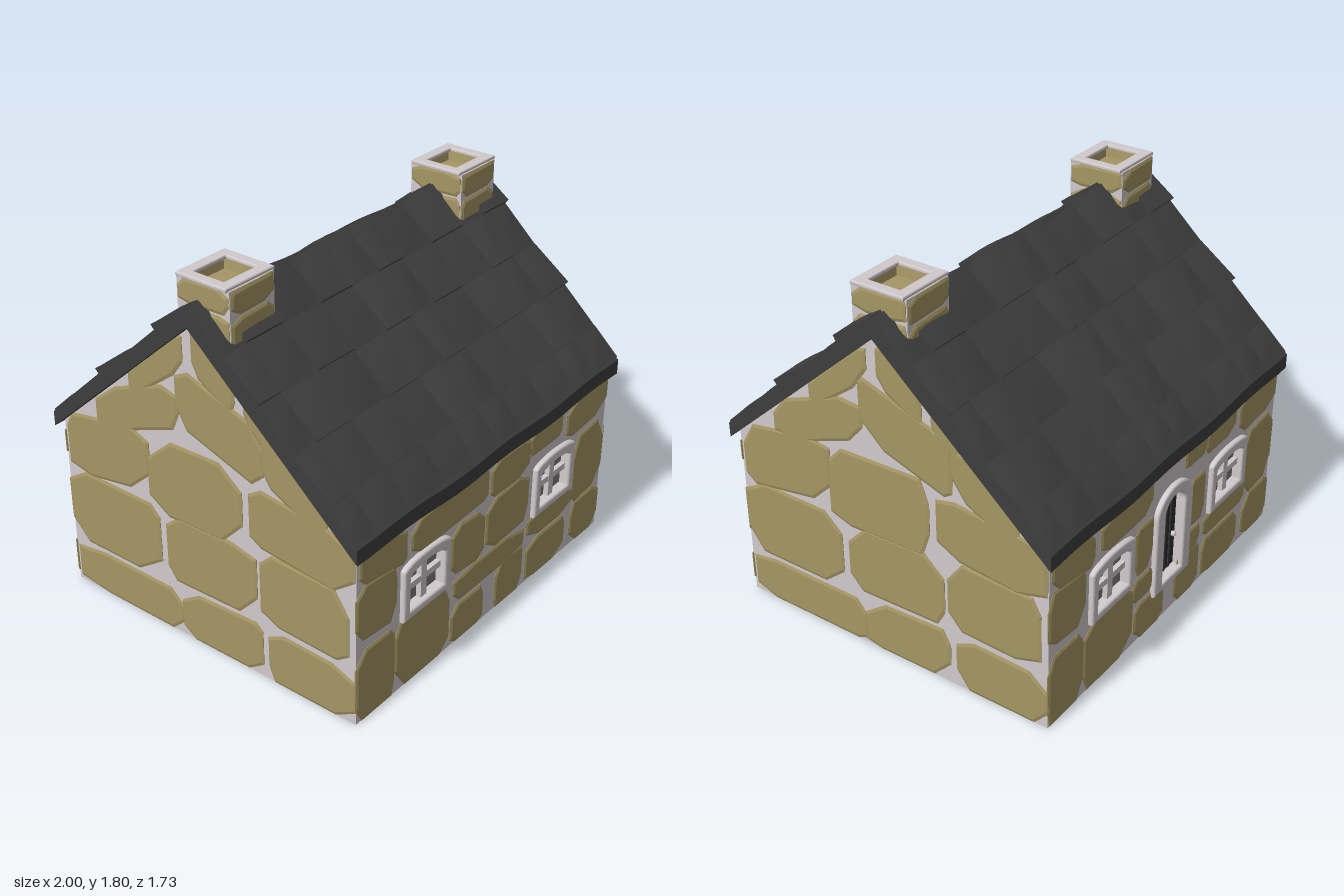
import * as THREE from 'three';

const mat = (name, color, side = THREE.FrontSide) => {
  const m = new THREE.MeshStandardMaterial({ color, side });
  m.name = name;
  return m;
};
const stone = mat('tan stone', 0xa59664, THREE.DoubleSide);
const mortar = mat('pale mortar', 0xd2cacd, THREE.DoubleSide);
const slate = mat('charcoal slate', 0x3e3e3e);
const trim = mat('off-white trim', 0xd2cbcd);
const glass = mat('grey glass', 0x7c797b);
const doorDark = mat('dark door', 0x2e2e30);

let seed = 11;
const rnd = () => (seed = (seed * 16807) % 2147483647) / 2147483647;

function add(parent, name, geo, material, x = 0, y = 0, z = 0) {
  const m = new THREE.Mesh(geo, material);
  m.name = name;
  m.position.set(x, y, z);
  parent.add(m);
  return m;
}
function group(parent, name, x = 0, y = 0, z = 0, ry = 0) {
  const g = new THREE.Group();
  g.name = name;
  g.position.set(x, y, z);
  g.rotation.y = ry;
  parent.add(g);
  return g;
}
const polygon = (pts) => new THREE.Shape(pts.map(([x, y]) => new THREE.Vector2(x, y)));

// Stones: [centre x, centre y, width, height, slope of the courses]
const SIDES = [
  [-.84, .18, .27, .37, 0], [-.505, .18, .4, .36, 0], [-.165, .1, .26, .21, 0], [.17, .12, .23, .25, 0],
  [.485, .11, .35, .22, 0], [.84, .12, .27, .25, 0], [.51, .295, .41, .13, 0], [-.84, .55, .29, .28, -.1],
  [.83, .44, .28, .38, .1], [-.79, .76, .32, .18, -.15], [.43, .77, .28, .14, 0], [.79, .75, .37, .19, .08],
];
const FRONT_MIDDLE = [
  [0, .29, .57, .14, 0], [-.18, .5, .26, .26, -.1], [.13, .5, .35, .27, .05],
  [-.32, .74, .57, .18, .03], [.14, .73, .32, .19, 0],
];
const BACK_MIDDLE = [
  [-.22, .29, .2, .13, 0], [.2, .29, .16, .13, 0], [-.23, .5, .15, .26, 0], [.23, .5, .15, .26, 0],
  [-.38, .75, .42, .17, .03], [.2, .78, .2, .12, 0],
];
const GABLE = [
  [-.48, .11, .68, .23, 0], [.09, .13, .48, .27, .05], [.6, .13, .48, .28, -.03], [-.55, .44, .58, .39, 0],
  [.04, .46, .53, .35, .03], [.56, .48, .48, .36, -.03], [-.56, .81, .52, .32, .17], [-.04, .81, .55, .39, .03],
  [.55, .8, .56, .29, -.1], [-.36, 1.1, .51, .22, .38], [.12, 1.18, .48, .29, -.33], [.52, 1.05, .34, .24, -.5],
  [-.23, 1.35, .33, .18, .75], [.1, 1.44, .23, .24, -.6], [.33, 1.27, .14, .14, -.9],
];
const CHIMNEY = [[0, 1.727, .29, .112, .03], [0, 1.596, .3, .13, .05]];

// Irregular eight-cornered stones, kept inside the wall outline
function stones(parent, list, halfWidth, roofLine = () => 9) {
  for (const [cx, cy, w, h, slope] of list) {
    const pts = [];
    for (const [sx, sy, first] of [[1, -1, 0], [1, 1, 1], [-1, 1, 0], [-1, -1, 1]]) {
      const a = .06 + rnd() * .22, b = .1 + rnd() * .25;
      const side = [sx * w / 2, sy * h * (.5 - b)], end = [sx * w * (.5 - a), sy * h / 2];
      pts.push(...(first ? [side, end] : [end, side]));
    }
    const outline = pts.map(([x, y]) => {
      const u = THREE.MathUtils.clamp(cx + x, -halfWidth, halfWidth);
      return [u, Math.max(0, Math.min(cy + y + slope * x, roofLine(u)))];
    });
    const geo = new THREE.ExtrudeGeometry(polygon(outline), {
      depth: .004, bevelThickness: .005, bevelSize: .014, bevelOffset: -.014, bevelSegments: 1,
    });
    add(parent, 'stone', geo, stone, 0, 0, -.002);
  }
}

// Arched outline for windows and the door
function arch(T, [hw, y0, ys, rise], x = 0) {
  const s = new T();
  s.moveTo(x - hw, y0);
  s.lineTo(x + hw, y0);
  s.lineTo(x + hw, ys);
  s.absellipse(x, ys, hw, rise, 0, Math.PI, false);
  s.lineTo(x - hw, y0);
  return s;
}
const WINDOW = [.122, .402, .57, .03];
const DOOR = [.085, .22, .59, .07];

// Deep frame whose opening is closed by a recessed panel
function archOpening(parent, name, outer, inner, panelName, panelMaterial) {
  const s = arch(THREE.Shape, outer);
  s.holes.push(arch(THREE.Path, inner));
  const frame = new THREE.ExtrudeGeometry(s, {
    depth: .05, bevelThickness: .01, bevelSize: .012, bevelOffset: -.012, bevelSegments: 3, curveSegments: 16,
  });
  add(parent, name, frame, trim, 0, 0, -.035);
  const [hw, y0, ys, rise] = inner;
  const panel = new THREE.ExtrudeGeometry(arch(THREE.Shape, [hw + .012, y0 - .012, ys, rise + .012]), {
    depth: .01, bevelEnabled: false,
  });
  add(parent, panelName, panel, panelMaterial, 0, 0, -.035);
}

function addWindow(wall, x) {
  const g = group(wall, 'window', x);
  archOpening(g, 'windowFrame', [.168, .36, .615, .037], WINDOW, 'windowGlass', glass);
  add(g, 'verticalBar', new THREE.BoxGeometry(.04, .2, .04), trim, 0, .495, -.02);
  add(g, 'horizontalBar', new THREE.BoxGeometry(.25, .032, .036), trim, 0, .5, -.02);
}

function addDoor(wall) {
  const g = group(wall, 'door');
  archOpening(g, 'doorFrame', [.155, .18, .6, .115], DOOR, 'doorLeaf', doorDark);
  for (const x of [-.04, 0, .04])
    add(g, 'doorBatten', new THREE.BoxGeometry(.012, .4, .008), slate, x, .42, -.025);
  add(g, 'doorKnob', new THREE.SphereGeometry(.014, 12, 8), trim, .058, .4, -.015);
}

// Gentle sag along the length of the roof
const sag = (x) => .007 * Math.sin(x * 9 + 1) + .012 * (x * x - .5);

function addRoof(parent) {
  const roof = group(parent, 'roof');
  const section = polygon([[.865, .845], [.865, .918], [0, 1.7], [-.865, .918], [-.865, .845], [0, 1.61]]);
  const slab = new THREE.ExtrudeGeometry(section, { depth: 2, steps: 24, bevelEnabled: false });
  slab.rotateY(-Math.PI / 2).translate(1, 0, 0);
  const p = slab.attributes.position;
  for (let i = 0; i < p.count; i++) p.setY(i, p.getY(i) + sag(p.getX(i)));
  add(roof, 'roofSlab', slab, slate);

  // Slates in a woven pattern: every second one lifts at its lower edge
  const cols = [-1, -.86, -.64, -.385, -.17, 0, .175, .4, .625, .8, 1];
  const rows = [0, .242, .484, .726, .968, 1.15];
  for (const turn of [0, Math.PI]) {
    const slope = group(roof, 'roofSlope', 0, 1.7, 0);
    slope.rotation.set(Math.atan2(.782, .865), turn, 0, 'YXZ');
    for (let r = 0; r < rows.length - 1; r++) {
      for (let c = 0; c < cols.length - 1; c++) {
        const w = cols[c + 1] - cols[c], mid = (cols[c] + cols[c + 1]) / 2;
        const len = rows[r + 1] - rows[r];
        const raised = (r + c) % 2 && r < rows.length - 2;
        const lift = raised ? .03 + rnd() * .007 : .006;
        const geo = new THREE.BoxGeometry(w, .02, len, 4, 1, 4);
        const q = geo.attributes.position;
        for (let i = 0; i < q.count; i++) {
          const v = q.getZ(i) / len + .5, u = q.getX(i) / w;
          const top = .008 + (lift - .008) * v + .03 * (.25 - u * u) * Math.sin(Math.PI * v);
          const wave = sag((q.getX(i) + mid) * (turn ? -1 : 1));
          q.setY(i, (q.getY(i) > 0 ? top : -.015) + wave);
        }
        geo.computeVertexNormals();
        add(slope, 'slate', geo, slate, mid, 0, rows[r] + len / 2);
      }
    }
  }
}

function ring(w, d, holeW, holeD, depth, bevel) {
  const rect = (a, b) => [[-a, -b], [a, -b], [a, b], [-a, b]];
  const s = polygon(rect(w / 2, d / 2));
  s.holes.push(polygon(rect(holeW / 2, holeD / 2)));
  return new THREE.ExtrudeGeometry(s, {
    depth, bevelEnabled: bevel > 0, bevelThickness: bevel, bevelSize: bevel, bevelOffset: -bevel, bevelSegments: 2,
  }).rotateX(-Math.PI / 2);
}

function addChimney(parent, x) {
  const g = group(parent, 'chimney', x, 0, .022);
  add(g, 'chimneyBody', ring(.265, .285, .2, .2, .285, 0), mortar, 0, 1.5);
  add(g, 'chimneyRim', ring(.29, .272, .19, .165, .008, .006), mortar, 0, 1.786);
  // Stone lining and floor of the flue
  const lining = new THREE.CylinderGeometry(.135, .125, .05, 4, 1, true).rotateY(Math.PI / 4).toNonIndexed();
  lining.computeVertexNormals();
  add(g, 'flueLining', lining, stone, 0, 1.76);
  add(g, 'flueFloor', new THREE.BoxGeometry(.2, .02, .2), stone, 0, 1.73);
  for (let i = 0; i < 4; i++) {
    const a = i * Math.PI / 2, off = i % 2 ? .1325 : .1425;
    const face = group(g, 'chimneyFace', Math.sin(a) * off, 0, Math.cos(a) * off, a);
    stones(face, CHIMNEY, i % 2 ? .138 : .128);
  }
}

export function createModel() {
  const cottage = new THREE.Group();
  cottage.name = 'cottage';

  // Long walls: front with two windows, back with two windows and the door
  for (const [name, z, ry] of [['frontWall', .835, 0], ['backWall', -.835, Math.PI]]) {
    const back = name === 'backWall';
    const wall = group(cottage, name, 0, 0, z, ry);
    const face = polygon([[-.965, 0], [.965, 0], [.965, .86], [-.965, .86]]);
    for (const x of [-.503, .503]) {
      face.holes.push(arch(THREE.Path, WINDOW, x));
      addWindow(wall, x);
    }
    if (back) {
      face.holes.push(arch(THREE.Path, DOOR));
      addDoor(wall);
    }
    add(wall, 'wallMortar', new THREE.ShapeGeometry(face), mortar);
    stones(wall, [...SIDES, ...(back ? BACK_MIDDLE : FRONT_MIDDLE)], .972);
  }

  // Gable walls
  for (const side of [1, -1]) {
    const wall = group(cottage, side > 0 ? 'leftGable' : 'rightGable', side * .965, 0, 0, side * Math.PI / 2);
    const face = polygon([[-.835, 0], [.835, 0], [.835, .88], [0, 1.63], [-.835, .88]]);
    add(wall, 'wallMortar', new THREE.ShapeGeometry(face), mortar);
    stones(wall, GABLE, .842, (u) => 1.63 - .9 * Math.abs(u));
  }

  addRoof(cottage);
  addChimney(cottage, -.787);
  addChimney(cottage, .787);
  return cottage;
}
